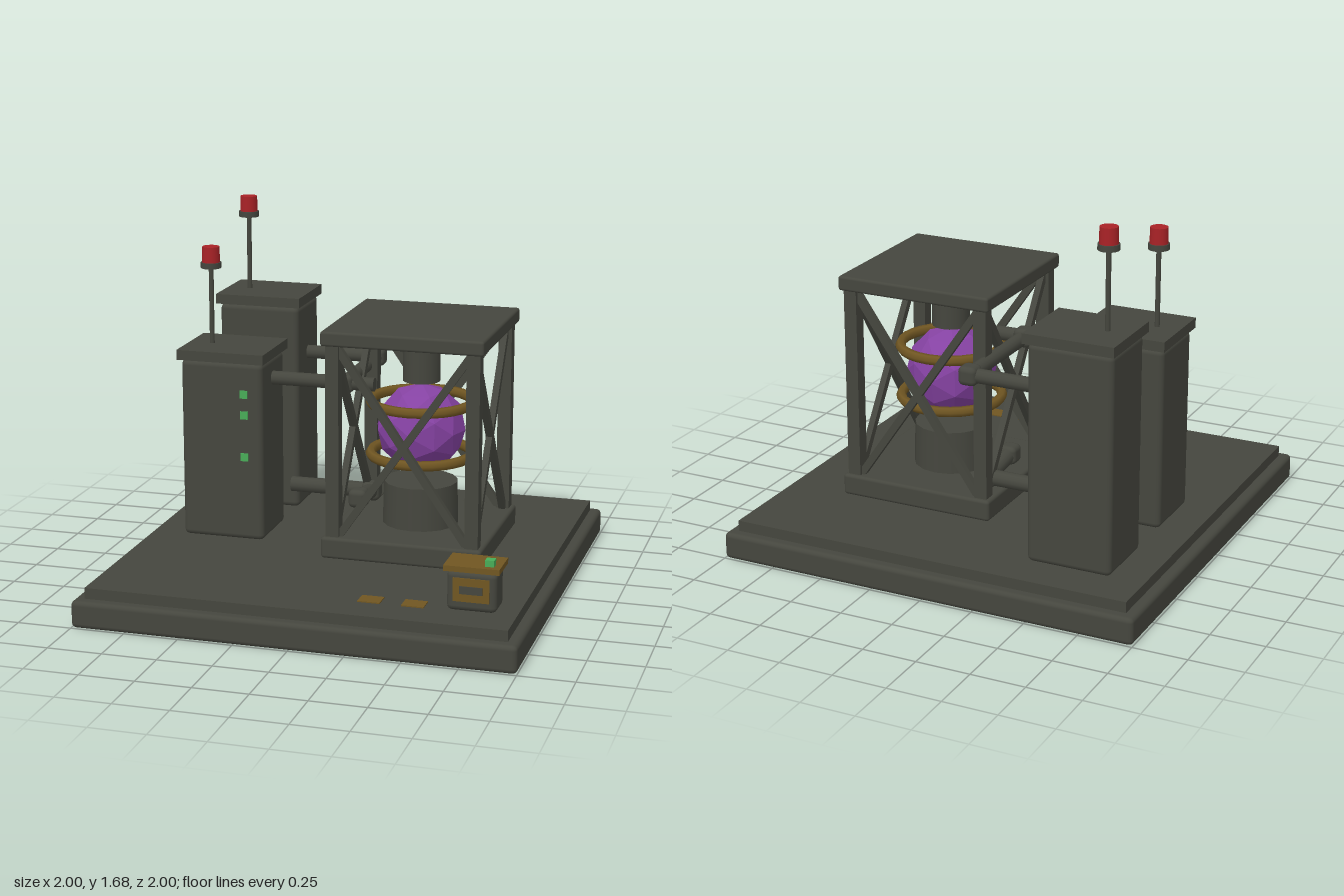
import * as THREE from 'three';
import { RoundedBoxGeometry } from 'three/addons/geometries/RoundedBoxGeometry.js';

const mat = (name, color, flatShading = false) => {
  const m = new THREE.MeshStandardMaterial({ color, flatShading });
  m.name = name;
  return m;
};

export function createModel() {
  const model = new THREE.Group();
  model.name = 'reactorStation';
  const steel = mat('darkSteel', 0x45463e);
  const brass = mat('brass', 0x705622);
  const purple = mat('corePurple', 0x8542a2, true);
  const red = mat('lampRed', 0xa82226);
  const green = mat('lightGreen', 0x48ac58);

  // Helpers
  const add = (parent, name, geo, material, x, y, z) => {
    const m = new THREE.Mesh(geo, material);
    m.name = name;
    m.position.set(x, y, z);
    parent.add(m);
    return m;
  };
  const group = (name, x = 0, y = 0, z = 0) => {
    const g = new THREE.Group();
    g.name = name;
    g.position.set(x, y, z);
    model.add(g);
    return g;
  };
  const box = (w, h, d) => new THREE.BoxGeometry(w, h, d);
  const round = (w, h, d, r) => new RoundedBoxGeometry(w, h, d, 2, r);
  const cyl = (rt, rb, h, n = 16) => new THREE.CylinderGeometry(rt, rb, h, n);
  const rod = (parent, name, a, b, r) => {
    const p = new THREE.Vector3(...a), q = new THREE.Vector3(...b);
    const dir = q.clone().sub(p);
    const mid = p.clone().add(q).multiplyScalar(0.5);
    const m = add(parent, name, cyl(r, r, dir.length(), 12), steel, mid.x, mid.y, mid.z);
    m.quaternion.setFromUnitVectors(new THREE.Vector3(0, 1, 0), dir.normalize());
  };

  // Stepped base
  add(model, 'baseSlab', round(2, 0.125, 2, 0.022), steel, 0, 0.0625, 0);
  add(model, 'baseDeck', box(1.9, 0.05, 1.9), steel, 0, 0.15, 0);

  // Two towers with caps, masts and warning lamps
  const tower = (name, z, capTop, lampTop) => {
    const g = group(name, -0.6, 0, z);
    const bodyH = capTop - 0.05 - 0.175;
    add(g, 'towerBody', round(0.395, bodyH, 0.33, 0.025), steel, 0, 0.175 + bodyH / 2, 0);
    add(g, 'towerCap', box(0.42, 0.047, 0.37), steel, 0, capTop - 0.0235, 0);
    const mastH = lampTop - 0.09 - capTop;
    add(g, 'mast', cyl(0.012, 0.012, mastH, 8), steel, -0.1, capTop + mastH / 2, 0);
    add(g, 'lampCollar', cyl(0.048, 0.048, 0.027), steel, -0.1, lampTop - 0.087, 0);
    add(g, 'warningLamp', cyl(0.04, 0.042, 0.074), red, -0.1, lampTop - 0.037, 0);
    return g;
  };
  const frontTower = tower('frontTower', -0.055, 1.072, 1.53);
  for (const y of [0.877, 0.778, 0.577])
    add(frontTower, 'statusLight', box(0.037, 0.037, 0.008), green, 0.11, y, 0.168);
  const rearTower = tower('rearTower', -0.605, 1.225, 1.68);
  add(rearTower, 'towerPanel', box(0.22, 0.14, 0.008), brass, 0, 0.93, 0.168);
  add(rearTower, 'towerPanelInset', box(0.14, 0.05, 0.008), steel, 0, 0.93, 0.171);

  // Containment frame
  const frame = group('containmentFrame', 0.3, 0, -0.105);
  add(frame, 'frameFloor', round(0.75, 0.1, 0.75, 0.015), steel, 0, 0.225, 0);
  add(frame, 'frameRoof', round(0.75, 0.068, 0.75, 0.012), steel, 0, 1.202, 0);
  for (const sx of [-1, 1]) for (const sz of [-1, 1])
    add(frame, 'framePost', box(0.062, 0.92, 0.062), steel, sx * 0.325, 0.72, sz * 0.325);
  for (let i = 0; i < 4; i++) {
    const side = new THREE.Group();
    side.name = 'crossBraces';
    side.rotation.y = i * Math.PI / 2;
    for (const s of [-1, 1])
      add(side, 'brace', box(0.034, 1.1, 0.03), steel, 0, 0.71, 0.325)
        .rotation.z = s * Math.atan2(0.62, 0.9);
    frame.add(side);
  }

  // Energy core between pedestal and emitter
  const core = group('energyCore', 0.3, 0, -0.105);
  add(core, 'pedestal', cyl(0.172, 0.178, 0.21), steel, 0, 0.37, 0);
  add(core, 'emitter', cyl(0.087, 0.087, 0.23), steel, 0, 1.065, 0);
  add(core, 'coreSphere', new THREE.IcosahedronGeometry(0.209, 1), purple, 0, 0.728, 0);
  for (const y of [0.605, 0.852])
    add(core, 'coreRing', new THREE.TorusGeometry(0.234, 0.024, 6, 28), brass, 0, y, 0)
      .rotation.x = Math.PI / 2;

  // Pipes with elbow joints
  const pipes = group('pipes');
  const Y = 0.925;
  rod(pipes, 'rearPipe', [-0.41, Y, -0.605], [-0.052, Y, -0.605], 0.033);
  rod(pipes, 'linkPipe', [-0.052, Y, -0.605], [-0.052, Y, -0.06], 0.033);
  rod(pipes, 'frontPipe', [-0.41, Y, -0.055], [0.09, Y, -0.055], 0.033);
  rod(pipes, 'lowerPipe', [-0.4, 0.33, -0.33], [0, 0.33, -0.33], 0.037);
  rod(pipes, 'lowerLink', [0, 0.33, -0.33], [0, 0.36, -0.105], 0.037);
  for (const [x, y, z] of [[-0.052, Y, -0.605], [-0.052, Y, -0.055], [0, 0.33, -0.33], [0, 0.36, -0.105]])
    add(pipes, 'pipeElbow', round(0.088, 0.088, 0.088, 0.025), steel, x, y, z);

  // Control box
  const control = group('controlBox', 0.75, 0, 0.702);
  add(control, 'controlBody', round(0.22, 0.18, 0.145, 0.025), steel, 0, 0.263, 0);
  add(control, 'controlLid', box(0.245, 0.025, 0.175), brass, 0, 0.364, -0.008);
  add(control, 'controlButton', box(0.04, 0.03, 0.04), green, 0.073, 0.39, 0.03);
  add(control, 'controlPanel', box(0.16, 0.105, 0.008), brass, 0, 0.272, 0.074);
  add(control, 'controlPanelInset', box(0.1, 0.035, 0.008), steel, 0, 0.272, 0.077);

  // Deck markings
  for (const x of [0.3, 0.495])
    add(model, 'deckMarking', box(0.1, 0.006, 0.08), brass, x, 0.177, 0.747);

  return model;
}
